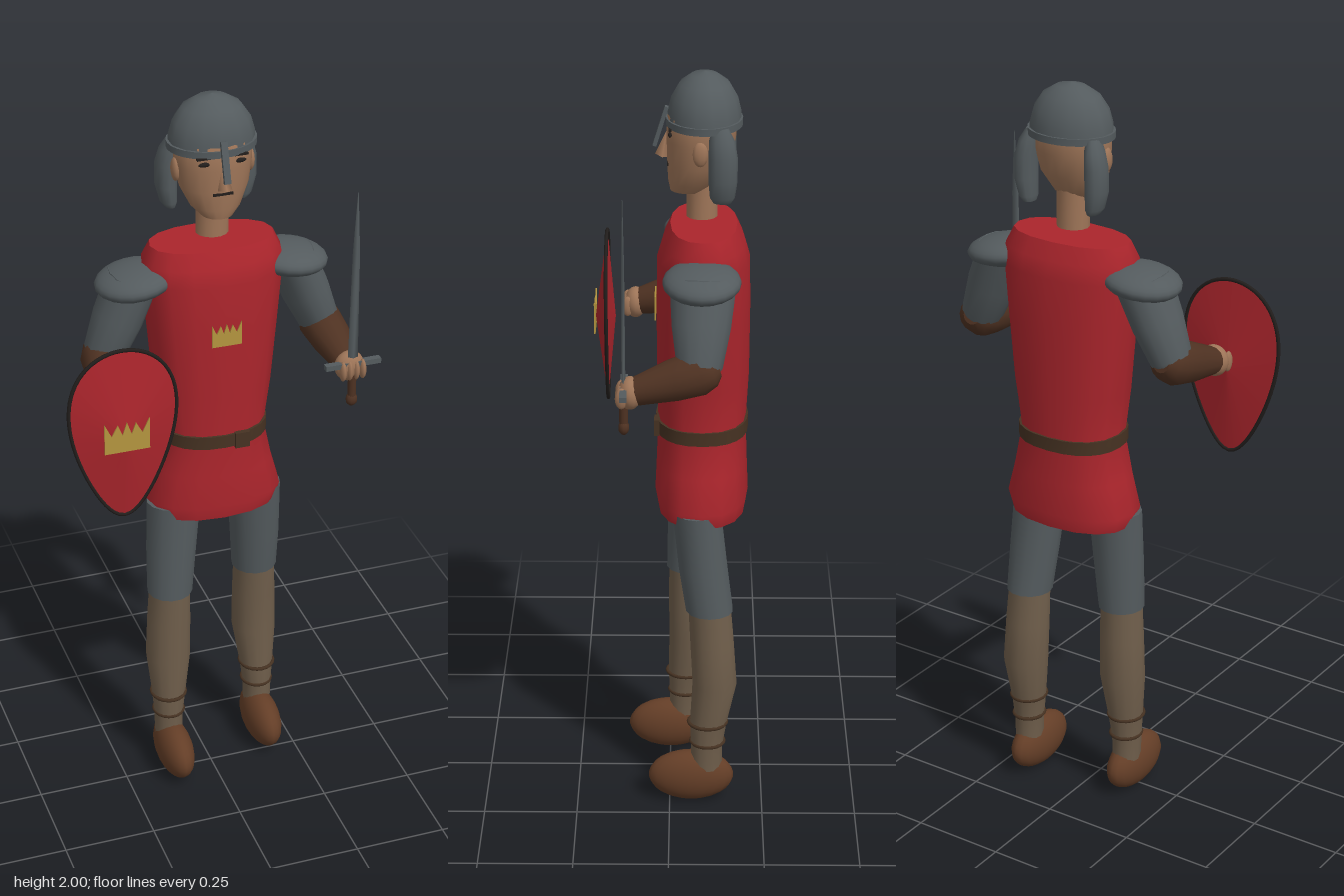
import * as THREE from 'three';

const mat = (name, color, side = THREE.FrontSide) => {
  const m = new THREE.MeshStandardMaterial({ color, side });
  m.name = name;
  return m;
};
const CX = 0.03; // the body's own centre line

// Stack of rounded rings, listed bottom to top as [y, x, z, rx, rz]; flat creased ends.
function loft(rings, sides = 14, power = 2) {
  const pos = [], idx = [];
  const first = rings[0], last = rings[rings.length - 1];
  const flat = (r) => [r[0], r[1], r[2], 0, 0];
  const all = [flat(first), first, ...rings, last, flat(last)];
  const bend = (c) => Math.sign(c) * Math.pow(Math.abs(c), 2 / power);
  for (const [y, x, z, rx, rz] of all) {
    for (let i = 0; i < sides; i++) {
      const a = (i / sides) * Math.PI * 2;
      pos.push(x + rx * bend(Math.cos(a)), y, z + rz * bend(Math.sin(a)));
    }
  }
  for (let j = 0; j < all.length - 1; j++) {
    for (let i = 0; i < sides; i++) {
      const a = j * sides + i, b = j * sides + ((i + 1) % sides);
      idx.push(a, a + sides, b, b, a + sides, b + sides);
    }
  }
  const g = new THREE.BufferGeometry();
  g.setAttribute('position', new THREE.Float32BufferAttribute(pos, 3));
  g.setIndex(idx);
  g.computeVertexNormals();
  return g;
}

// Four-pointed-rim crown badge, a thin plate
function crownGeometry(w, h) {
  const pts = [[-0.5, 0], [0.5, 0], [0.5, 1], [0.34, 0.55], [0.2, 0.9], [0.1, 0.55], [0, 0.95],
    [-0.1, 0.55], [-0.2, 0.9], [-0.34, 0.55], [-0.5, 1]];
  const shape = new THREE.Shape(pts.map(([x, y]) => new THREE.Vector2(x * w, (y - 0.5) * h)));
  return new THREE.ExtrudeGeometry(shape, { depth: 0.004, bevelEnabled: false });
}

export function createModel() {
  const red = mat('red cloth', 0xab252c);
  const steel = mat('steel', 0x545b5e);
  const skin = mat('skin', 0x9e7558);
  const leather = mat('dark leather', 0x4f3222);
  const boot = mat('boot leather', 0x643e27);
  const hose = mat('hose', 0x6f5e4b);
  const gold = mat('gold', 0xb5963f);
  const dark = mat('dark', 0x221e1c);
  const strap = mat('strap', 0x463222);

  const root = new THREE.Group();
  root.name = 'footSoldier';
  const add = (name, geo, m, x = 0, y = 0, z = 0) => {
    const mesh = new THREE.Mesh(geo, m);
    mesh.name = name;
    mesh.position.set(x, y, z);
    root.add(mesh);
    return mesh;
  };
  const ball = (name, m, x, y, z, rx, ry, rz, n = 16) => {
    const g = new THREE.SphereGeometry(1, n, Math.max(8, n * 0.75));
    g.scale(rx, ry, rz);
    return add(name, g, m, x, y, z);
  };
  const limb = (name, m, a, b, sections) => {
    const A = new THREE.Vector3(...a), d = new THREE.Vector3(...b).sub(A), len = d.length();
    const mesh = add(name, loft(sections.map(([t, rx, rz]) => [t * len, 0, 0, rx, rz])), m, ...a);
    mesh.quaternion.setFromUnitVectors(new THREE.Vector3(0, 1, 0), d.normalize());
  };

  // Tunic, belt and chest badge
  add('tunic', loft([
    [0.83, CX, -0.083, 0.175, 0.115], [0.87, CX, -0.083, 0.187, 0.122], [0.96, CX, -0.083, 0.162, 0.118],
    [1.07, CX, -0.083, 0.138, 0.114], [1.2, CX, -0.085, 0.157, 0.119], [1.38, CX, -0.085, 0.174, 0.12],
    [1.52, CX, -0.085, 0.187, 0.118], [1.565, CX, -0.085, 0.186, 0.105], [1.608, CX, -0.085, 0.165, 0.085],
  ], 16, 2.3), red);
  add('belt', loft([[1.05, CX, -0.083, 0.145, 0.12], [1.086, CX, -0.083, 0.145, 0.12]], 24, 2.3), strap);
  add('buckle', new THREE.BoxGeometry(0.04, 0.044, 0.014), strap, 0.075, 1.067, 0.034);
  add('chestCrown', crownGeometry(0.08, 0.065), gold, CX, 1.388, 0.036);

  // Head and neck
  add('neck', loft([[1.627, CX, -0.08, 0.043, 0.04], [1.75, CX, -0.08, 0.042, 0.04]]), skin);
  add('head', loft([
    [1.695, CX, -0.045, 0.042, 0.045], [1.72, CX, -0.055, 0.066, 0.06], [1.77, CX, -0.07, 0.09, 0.078],
    [1.83, CX, -0.077, 0.1, 0.087], [1.89, CX, -0.08, 0.102, 0.087], [1.93, CX, -0.083, 0.07, 0.06],
  ], 20), skin);
  const nose = add('nose', new THREE.ConeGeometry(0.019, 0.075, 4), skin, CX, 1.82, 0.012);
  nose.rotation.x = -0.2;
  add('mouth', new THREE.BoxGeometry(0.052, 0.007, 0.008), dark, CX, 1.767, 0.004);

  // Helmet with rim and nose guard
  const dome = [[0.112, 0], [0.11, 0.03], [0.1, 0.065], [0.076, 0.1], [0.04, 0.122], [0, 0.13]]
    .map(([x, y]) => new THREE.Vector2(x, y));
  add('helmet', new THREE.LatheGeometry(dome, 14), steel, CX, 1.87, -0.085).scale.z = 0.83;
  add('helmetRim', loft([[1.866, CX, -0.085, 0.116, 0.096], [1.884, CX, -0.085, 0.116, 0.096]], 28), steel);
  const guard = add('noseGuard', new THREE.BoxGeometry(0.017, 0.105, 0.01), steel, CX, 1.859, 0.024);
  guard.rotation.x = -0.3;

  // Paired parts
  for (const s of [1, -1]) {
    const X = (d) => CX + s * d;
    const side = s > 0 ? 'left' : 'right';

    // Face and helmet flaps
    ball(side + 'Eye', dark, X(0.046), 1.85, 0.0, 0.017, 0.006, 0.005, 10);
    add(side + 'Brow', new THREE.BoxGeometry(0.042, 0.005, 0.008), dark, X(0.046), 1.866, 0.0);
    ball(side + 'Ear', skin, X(0.098), 1.815, -0.075, 0.012, 0.032, 0.02, 10);
    add(side + 'HelmetFlap', loft([
      [1.69, X(0.096), -0.13, 0.014, 0.022], [1.705, X(0.1), -0.13, 0.022, 0.031],
      [1.75, X(0.106), -0.131, 0.028, 0.036], [1.81, X(0.105), -0.131, 0.028, 0.036],
      [1.85, X(0.098), -0.128, 0.024, 0.032], [1.88, X(0.09), -0.122, 0.015, 0.022]], 12), steel);

    // Arm
    const shoulder = [X(0.212), 1.525, -0.083], elbow = [X(0.298), 1.32, -0.075], wrist = [X(0.315), 1.275, 0.085];
    const pad = ball(side + 'ShoulderPad', steel, X(0.208), 1.522, -0.08, 0.104, 0.04, 0.098, 20);
    pad.rotation.z = -0.12 * s;
    limb(side + 'UpperArm', steel, elbow, shoulder,
      [[-0.04, 0.04, 0.045], [0.05, 0.054, 0.058], [0.5, 0.064, 0.075], [1, 0.064, 0.085]]);
    limb(side + 'Forearm', leather, elbow, wrist,
      [[-0.3, 0.025, 0.025], [-0.2, 0.047, 0.045], [0, 0.058, 0.058], [0.4, 0.054, 0.053], [1, 0.036, 0.036]]);
    ball(side + 'Palm', skin, X(0.315), 1.272, 0.096, 0.04, 0.042, 0.03);
    for (let i = 0; i < 4; i++) {
      ball(side + 'Finger', skin, X(0.29 + i * 0.018), 1.268, 0.117, 0.0095, 0.028, 0.016, 8);
    }

    // Leg, the right one set a little forward
    const [hip, knee, calf, ankle, foot] = s > 0 ? [-0.07, -0.105, -0.12, -0.1, -0.058] : [-0.06, -0.052, -0.055, -0.04, 0.0];
    add(side + 'Thigh', loft([
      [0.575, X(0.131), knee, 0.062, 0.063], [0.7, X(0.125), (hip + knee) / 2, 0.068, 0.065],
      [0.86, X(0.115), hip, 0.074, 0.064]]), steel);
    add(side + 'Shin', loft([
      [0.1, X(0.142), ankle, 0.038, 0.042], [0.17, X(0.142), ankle, 0.04, 0.043], [0.24, X(0.14), ankle - 0.004, 0.047, 0.05],
      [0.36, X(0.137), calf, 0.062, 0.06], [0.48, X(0.134), (calf + knee) / 2, 0.06, 0.059],
      [0.59, X(0.131), knee, 0.056, 0.057]]), hose);
    for (const [y, r] of [[0.18, 0.041], [0.24, 0.047]]) {
      const ring = add(side + 'AnkleStrap', new THREE.TorusGeometry(r, 0.005, 6, 20), strap, X(0.141), y, ankle - 0.002);
      ring.rotation.x = Math.PI / 2;
      ring.scale.y = 1.08;
    }
    ball(side + 'Boot', boot, X(0.14), 0.073, foot, 0.049, 0.073, 0.115, 20);
  }

  // Sword
  const SX = 0.348, SZ = 0.112;
  add('swordBlade', loft([[1.285, SX, SZ, 0.014, 0.005], [1.6, SX, SZ, 0.01, 0.004], [1.77, SX, SZ, 0.001, 0.001]], 4), steel);
  add('swordGuard', new THREE.BoxGeometry(0.152, 0.014, 0.018), steel, SX, 1.285, SZ);
  add('swordGrip', new THREE.CylinderGeometry(0.011, 0.011, 0.11, 10), leather, SX, 1.23, SZ);
  ball('swordPommel', leather, SX, 1.18, SZ, 0.016, 0.019, 0.014, 10);

  // Shield: two shallow cones bent to a teardrop outline
  const teardrop = (x, y) => [-0.29 + 0.133 * x * (1 + 0.35 * y), 1.23 + 0.238 * y];
  for (const [name, dir, depth] of [['shieldFront', 1, 0.032], ['shieldBack', -1, 0.022]]) {
    const g = new THREE.ConeGeometry(1, depth, 36, 1, true);
    g.rotateX(dir * Math.PI / 2);
    const p = g.attributes.position;
    for (let i = 0; i < p.count; i++) {
      p.setXYZ(i, ...teardrop(p.getX(i), p.getY(i)), p.getZ(i) + 0.172 + dir * depth / 2);
    }
    g.computeVertexNormals();
    add(name, g, red);
  }
  const rim = [];
  for (let i = 0; i < 36; i++) {
    const a = (i / 36) * Math.PI * 2;
    rim.push(new THREE.Vector3(...teardrop(Math.cos(a), Math.sin(a)), 0.172));
  }
  add('shieldRim', new THREE.TubeGeometry(new THREE.CatmullRomCurve3(rim, true), 72, 0.005, 6, true), dark);
  add('shieldCrown', crownGeometry(0.118, 0.087), gold, -0.29, 1.243, 0.203);

  return root;
}
